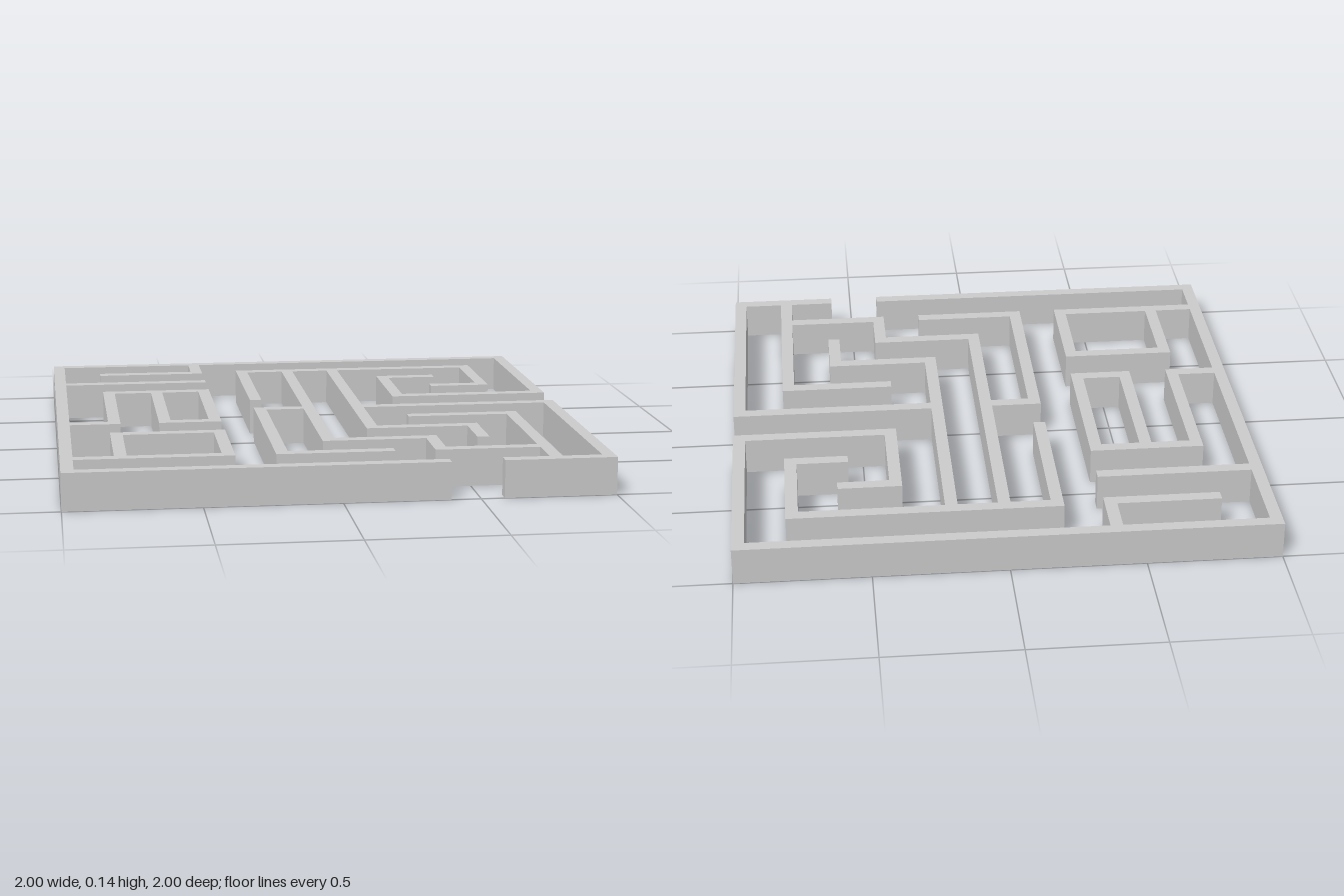
import * as THREE from 'three';

const HALF = 0.0233;             // half the wall thickness
const STEP = (1 - HALF) / 5;     // spacing of the 11 x 11 node grid
const HEIGHT = 0.14;

// How a wall ends: square cap past its node, flush at the node, or butted against another wall
const CAP = HALF, FLUSH = 0, BUTT = -HALF;

// Each wall: name, start and end type, [column, row] nodes (row 0 at the back)
const WALLS = [
  ['outerWall', FLUSH, CAP, [[7, 10], [0, 10], [0, 0], [10, 0], [10, 4], [7, 4], [7, 2], [8, 2]]],
  ['frontRightOuterWall', FLUSH, BUTT, [[8, 10], [10, 10], [10, 5], [6, 5]]],
  ['backHookWall', BUTT, CAP, [[3, 0], [3, 1], [1, 1]]],
  ['straightSideWall', BUTT, CAP, [[0, 2], [3, 2]]],
  ['foldedSideWall', BUTT, BUTT, [[0, 6], [1, 6], [1, 3], [3, 3], [3, 6], [2, 6], [2, 3]]],
  ['squareRoomWall', BUTT, BUTT, [[0, 9], [3, 9], [3, 7], [1, 7], [1, 9]]],
  ['centralCombWall', CAP, CAP, [[4, 4], [4, 1], [9, 1], [9, 3], [8, 3]]],
  ['longSteppedWall', BUTT, BUTT, [[5, 1], [5, 8], [7, 8], [7, 9], [9, 9]]],
  ['shortSteppedWall', BUTT, CAP, [[6, 1], [6, 7], [8, 7], [8, 8]]],
  ['frontHookWall', BUTT, CAP, [[5, 5], [4, 5], [4, 9], [6, 9]]],
  ['frontCornerWall', CAP, BUTT, [[7, 6], [9, 6], [9, 10]]],
];

// Thickens a right-angled path into a mitred outline and extrudes it upwards
function wallGeometry(nodes, startExtra, endExtra) {
  const pts = nodes.map(([c, r]) => new THREE.Vector2((c - 5) * STEP, (5 - r) * STEP));
  const dirs = pts.slice(1).map((p, i) => p.clone().sub(pts[i]).normalize());
  const last = pts.length - 1;
  pts[0].addScaledVector(dirs[0], -startExtra);
  pts[last].addScaledVector(dirs[last - 1], endExtra);

  const left = [], right = [];
  pts.forEach((p, i) => {
    const offset = new THREE.Vector2();
    const touching = i === 0 ? [dirs[0]] : i === last ? [dirs[last - 1]] : [dirs[i - 1], dirs[i]];
    for (const d of touching) offset.add(new THREE.Vector2(-d.y, d.x).multiplyScalar(HALF));
    left.push(p.clone().add(offset));
    right.unshift(p.clone().sub(offset));
  });

  const shape = new THREE.Shape([...left, ...right]);
  return new THREE.ExtrudeGeometry(shape, { depth: HEIGHT, bevelEnabled: false }).rotateX(-Math.PI / 2);
}

export function createModel() {
  const maze = new THREE.Group();
  maze.name = 'maze';
  const material = new THREE.MeshStandardMaterial({ color: 0xcccccc });
  for (const [name, start, end, nodes] of WALLS) {
    const wall = new THREE.Mesh(wallGeometry(nodes, start, end), material);
    wall.name = name;
    maze.add(wall);
  }
  return maze;
}
